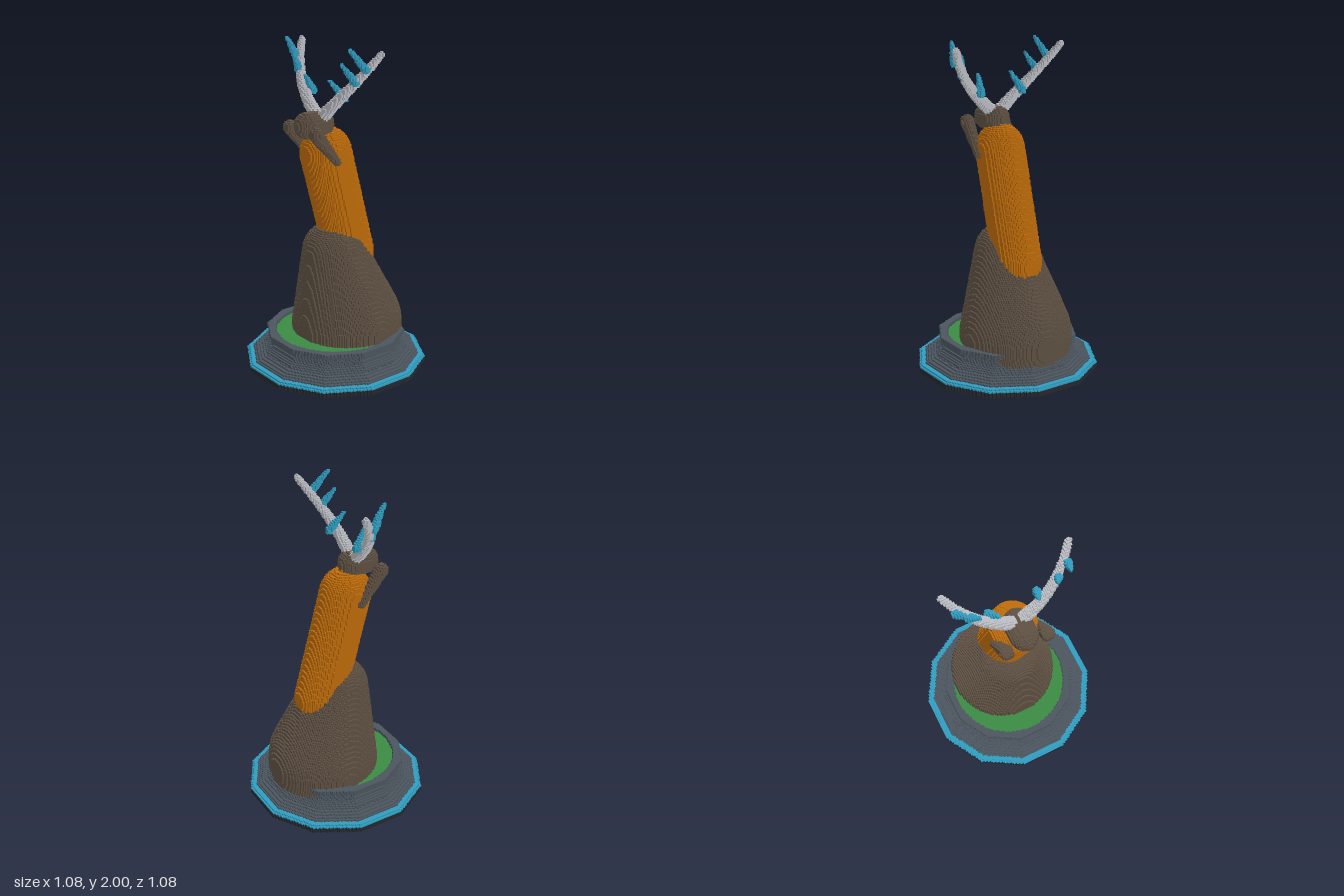
import * as THREE from 'three';

// The sculpture is made of small cubes: parts are painted into one grid, then skinned.
const H = 0.01, SIZE = [112, 202, 112], ORIGIN = [-56, 0, -56];
const stride = [1, SIZE[0], SIZE[0] * SIZE[1]];

const mat = (name, color) => new THREE.MeshStandardMaterial({ name, color });

export function createModel() {
  const brown = mat('brown', 0x5f5143), orange = mat('orange', 0xbf6c0a), grey = mat('slate grey', 0x4c565f);
  const dark = mat('charcoal', 0x26282c), cyan = mat('cyan', 0x2f9dc0), green = mat('green', 0x3a8a42);
  const silver = mat('silver', 0xbcbec4);
  const grid = new Uint8Array(SIZE[0] * SIZE[1] * SIZE[2]);
  const parts = [null];
  const addPart = (name, material) => parts.push({ name, material }) - 1;

  // Paints every cell in a box of world coordinates whose centre passes the test
  function paint(id, min, max, inside) {
    const lo = min.map((m, a) => Math.max(0, Math.floor(m / H) - ORIGIN[a]));
    const hi = max.map((m, a) => Math.min(SIZE[a], Math.ceil(m / H) - ORIGIN[a]));
    for (let k = lo[2]; k < hi[2]; k++) for (let j = lo[1]; j < hi[1]; j++) for (let i = lo[0]; i < hi[0]; i++) {
      const x = (i + ORIGIN[0] + 0.5) * H, y = (j + 0.5) * H, z = (k + ORIGIN[2] + 0.5) * H;
      if (inside(x, y, z)) grid[i + j * stride[1] + k * stride[2]] = id;
    }
  }

  // Tapered capsule: the hull of two spheres; sx narrows it in x, mirrored repeats it on the other side
  function capsule(id, a, ra, b, rb, { sx = 1, mirrored = false } = {}) {
    const R = Math.max(ra, rb), d = b.map((v, i) => v - a[i]);
    const L = Math.hypot(...d), s = (ra - rb) / L, lean = s / Math.sqrt(1 - s * s);
    const min = a.map((v, i) => Math.min(v, b[i]) - R), max = a.map((v, i) => Math.max(v, b[i]) + R);
    if (mirrored) min[0] = -max[0];
    paint(id, min, max, (x, y, z) => {
      const px = (mirrored ? Math.abs(x) : x) / sx - a[0], py = y - a[1], pz = z - a[2];
      const along = (px * d[0] + py * d[1] + pz * d[2]) / L;
      const across = Math.sqrt(Math.max(0, px * px + py * py + pz * pz - along * along));
      const t = THREE.MathUtils.clamp(along - across * lean, 0, L);
      return Math.hypot(along - t, across) < ra - s * t;
    });
  }

  // Apothem of a twelve-sided prism through the point (x, z)
  function apothem(x, z) {
    const step = Math.PI / 6, a = Math.atan2(z, x);
    return Math.hypot(x, z) * Math.cos(a - Math.round(a / step) * step);
  }

  // Plinth: dark foot, cyan stripe, flared grey moulding with a round recess
  const profile = [[0.04, 0.52], [0.06, 0.495], [0.095, 0.435], [0.13, 0.402], [0.17, 0.39], [0.19, 0.412], [0.21, 0.412]];
  const radiusAt = (y) => {
    const i = Math.max(1, profile.findIndex((p) => p[0] >= y));
    const [[y0, r0], [y1, r1]] = [profile[i - 1], profile[i]];
    return r0 + (r1 - r0) * (y - y0) / (y1 - y0);
  };
  const slab = (id, y0, y1, inside) => paint(id, [-0.56, y0 + 1e-6, -0.56], [0.56, y1 - 1e-6, 0.56], inside);
  slab(addPart('plinthFoot', dark), 0, 0.03, (x, y, z) => apothem(x, z) < 0.54);
  slab(addPart('plinthStripe', cyan), 0.03, 0.05, (x, y, z) => apothem(x, z) < (y < 0.04 ? 0.54 : 0.53));
  slab(addPart('plinthMoulding', grey), 0.05, 0.21, (x, y, z) =>
    apothem(x, z) < radiusAt(y) && (y < 0.19 || Math.hypot(x, z) > 0.37));
  slab(addPart('grassDisc', green), 0.18, 0.19, (x, y, z) => Math.hypot(x, z) < 0.37);

  // Body, neck, head and hanging ears
  capsule(addPart('body', brown), [0, 0.22, -0.095], 0.34, [0, 0.71, 0.01], 0.19);
  capsule(addPart('neck', orange), [0, 0.68, -0.11], 0.155, [0, 1.345, 0.07], 0.155, { sx: 0.91 });
  capsule(addPart('head', brown), [0, 1.525, 0.11], 0.078, [0, 1.525, 0.2], 0.078);
  capsule(addPart('ears', brown), [0.126, 1.5, 0.235], 0.04, [0.138, 1.315, 0.092], 0.02, { mirrored: true });

  // Antlers: a chain of short tapering links along a curve
  const antlers = addPart('antlers', silver);
  const curve = new THREE.CatmullRomCurve3([
    [0.04, 1.58, 0.115], [0.12, 1.65, 0.11], [0.22, 1.75, 0.08], [0.3, 1.85, 0.03], [0.37, 1.96, -0.035],
  ].map((p) => new THREE.Vector3(...p)));
  const links = curve.getPoints(12).map((p) => p.toArray());
  const thickness = (i) => 0.036 - 0.018 * i / 12;
  for (let i = 0; i < 12; i++)
    capsule(antlers, links[i], thickness(i), links[i + 1], thickness(i + 1), { mirrored: true });

  // Tines leaning forward from each antler
  const tines = addPart('tines', cyan);
  for (const [base, tip] of [
    [[0.148, 1.69, 0.05], [0.116, 1.795, 0.128]],
    [[0.265, 1.80, 0.065], [0.226, 1.9, 0.13]],
    [[0.33, 1.88, 0.045], [0.295, 1.99, 0.128]],
  ]) capsule(tines, base, 0.023, tip, 0.009, { mirrored: true });

  // Skin: exposed cube faces of each part, joined into strips along one axis
  const skins = parts.map(() => ({ position: [], normal: [], index: [] }));
  for (let a = 0; a < 3; a++) {
    const u = (a + 1) % 3, v = (a + 2) % 3;
    for (const dir of [-1, 1]) for (let p = 0; p < SIZE[a]; p++) for (let q = 0; q < SIZE[v]; q++) {
      const exposed = (r) => {
        if (r >= SIZE[u]) return 0;
        const c = p * stride[a] + q * stride[v] + r * stride[u], n = p + dir;
        return n >= 0 && n < SIZE[a] && grid[c + dir * stride[a]] ? 0 : grid[c];
      };
      for (let r = 0; r < SIZE[u];) {
        const id = exposed(r), start = r++;
        if (!id) continue;
        while (exposed(r) === id) r++;
        const { position, normal, index } = skins[id], first = position.length / 3;
        for (const [cu, cv] of [[start, q], [r, q], [r, q + 1], [start, q + 1]]) {
          const corner = [], n = [0, 0, 0];
          corner[a] = p + (dir > 0 ? 1 : 0); corner[u] = cu; corner[v] = cv;
          n[a] = dir;
          position.push(...corner.map((c, i) => (c + ORIGIN[i]) * H));
          normal.push(...n);
        }
        index.push(...(dir > 0 ? [0, 1, 2, 0, 2, 3] : [0, 2, 1, 0, 3, 2]).map((i) => first + i));
      }
    }
  }

  const group = new THREE.Group();
  group.name = 'stagSculpture';
  parts.forEach((part, id) => {
    if (!part) return;
    const { position, normal, index } = skins[id];
    const geometry = new THREE.BufferGeometry();
    geometry.setAttribute('position', new THREE.Float32BufferAttribute(position, 3));
    geometry.setAttribute('normal', new THREE.Float32BufferAttribute(normal, 3));
    geometry.setIndex(index);
    const mesh = new THREE.Mesh(geometry, part.material);
    mesh.name = part.name;
    group.add(mesh);
  });
  return group;
}
